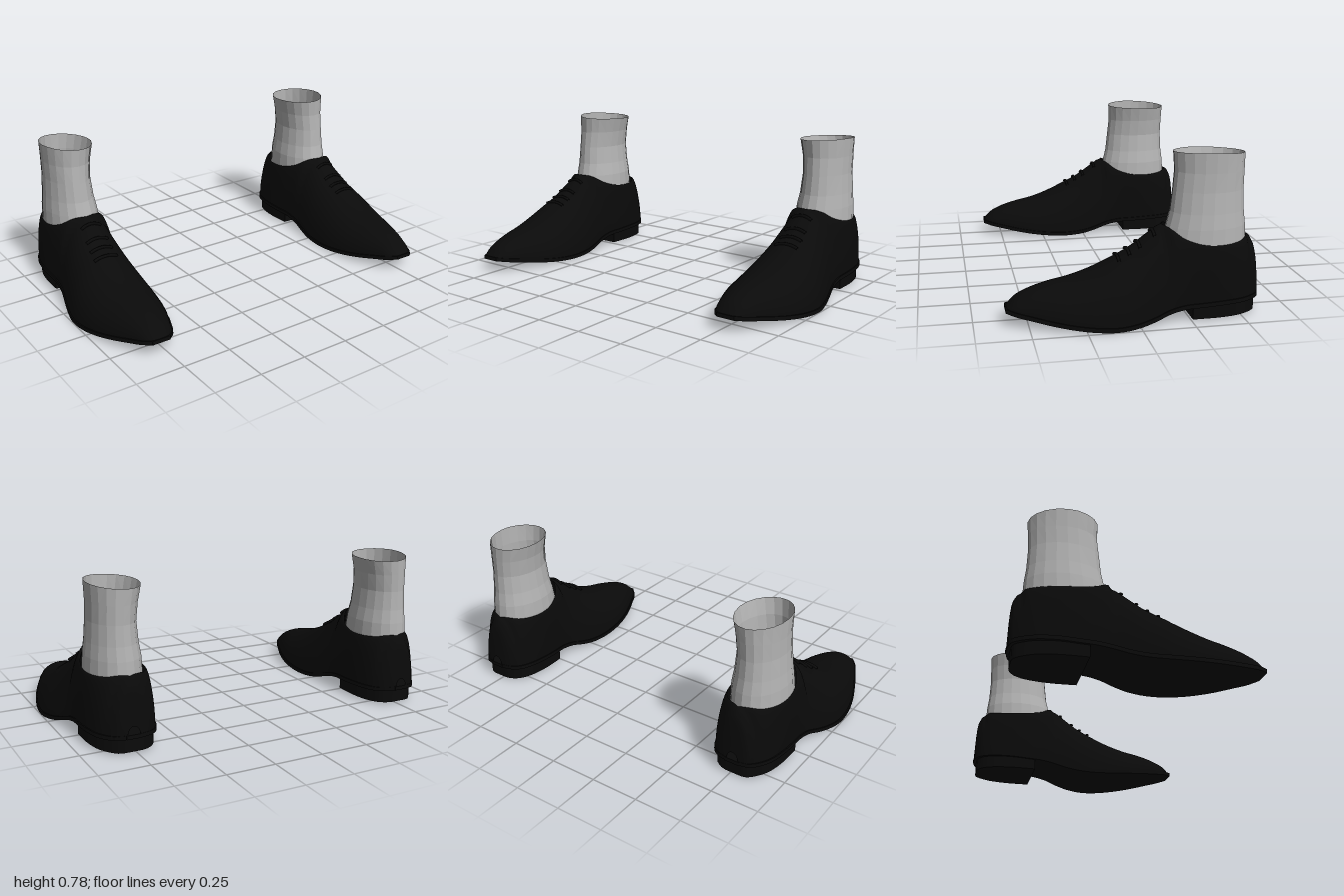
import * as THREE from 'three';

// Plan and profile of the shoe: z, inner x, outer x, sole underside y, upper top y
const ROWS = [
  [-0.6, 0.73, 0.805, 0.08, 0.14], [-0.593, 0.695, 0.84, 0.08, 0.27], [-0.575, 0.66, 0.865, 0.079, 0.345],
  [-0.55, 0.637, 0.885, 0.078, 0.37], [-0.5, 0.615, 0.912, 0.077, 0.362], [-0.4, 0.6, 0.932, 0.075, 0.357],
  [-0.3, 0.602, 0.935, 0.07, 0.365], [-0.22, 0.607, 0.935, 0.066, 0.39], [-0.14, 0.605, 0.942, 0.05, 0.437],
  [-0.08, 0.597, 0.957, 0.03, 0.402], [0, 0.585, 0.978, 0.012, 0.343], [0.1, 0.578, 0.997, 0.004, 0.289],
  [0.2, 0.579, 0.993, 0.008, 0.242], [0.3, 0.592, 0.972, 0.018, 0.208], [0.4, 0.62, 0.937, 0.032, 0.187],
  [0.5, 0.663, 0.892, 0.049, 0.157], [0.56, 0.693, 0.862, 0.059, 0.125], [0.6, 0.733, 0.828, 0.066, 0.082],
];
const profile = new THREE.CubicInterpolant(ROWS.map(r => r[0]), ROWS.flatMap(r => r.slice(1)), 4);

function at(z) {
  const [a, b, bottom, top] = profile.evaluate(z);
  return { c: (a + b) / 2, w: (b - a) / 2, bottom, top };
}

// Half width of the ankle opening
function gap(z) {
  const t = (z + 0.345) / 0.203;
  return Math.abs(t) < 1 ? 0.143 * Math.sqrt(1 - t * t) : 0;
}

// Point on the upper; a = 0 at the sole, PI / 2 at the top edge, wall = 1 outer, -1 inner
function upperPoint(z, a, wall, lift = 0) {
  const { c, w, bottom, top } = at(z);
  const g = Math.min(gap(z), w - 0.012), base = bottom + 0.012;
  const x = g + (w - 0.006 - g) * Math.cos(a);
  return [c + wall * x, base + (top - base) * Math.sin(a) + lift, z];
}

// Skin a list of equal cross-sections
function loft(sections, { side = 1, closed = false, cap = false, flat = false } = {}) {
  const n = sections[0].length, pos = [], idx = [];
  const tri = (a, b, c) => idx.push(a, side > 0 ? b : c, side > 0 ? c : b);
  sections.forEach(s => s.forEach(([x, y, z]) => pos.push(x * side, y, z)));
  for (let i = 0; i < sections.length - 1; i++) {
    for (let j = 0; j < (closed ? n : n - 1); j++) {
      const k = (j + 1) % n, a = i * n + j, b = i * n + k;
      tri(a, b, b + n);
      tri(a, b + n, a + n);
    }
  }
  if (cap) {
    const e = (sections.length - 1) * n;
    for (let j = 1; j < n - 1; j++) {
      tri(0, j + 1, j);
      tri(e, e + j, e + j + 1);
    }
  }
  let g = new THREE.BufferGeometry();
  g.setAttribute('position', new THREE.Float32BufferAttribute(pos, 3));
  g.setIndex(idx);
  if (flat) g = g.toNonIndexed();
  g.computeVertexNormals();
  return g;
}

// z stations packed closer at both ends
const stations = (z0, z1, n) => Array.from({ length: n + 1 },
  (_, i) => (z0 + z1) / 2 - (z1 - z0) / 2 * Math.cos(Math.PI * i / n));

// Rectangular cross-section, counterclockwise seen from the front
const slab = (c, w, y0, y1, z) => [[c + w, y0, z], [c + w, y1, z], [c - w, y1, z], [c - w, y0, z]];

// Sock rings: y, inner x, outer x, back z, front z
const SOCK = [
  [0.29, 0.637, 0.908, -0.545, -0.145], [0.36, 0.637, 0.908, -0.543, -0.143], [0.43, 0.641, 0.905, -0.539, -0.157],
  [0.5, 0.654, 0.898, -0.53, -0.174], [0.6, 0.664, 0.891, -0.525, -0.185], [0.69, 0.655, 0.891, -0.528, -0.194],
  [0.775, 0.637, 0.895, -0.531, -0.19],
];

function sockRing([y, x0, x1, z0, z1], level) {
  return Array.from({ length: 20 }, (_, j) => {
    const t = j / 20 * Math.PI * 2, cx = Math.cos(t), cz = -Math.sin(t);
    const tilt = level === SOCK.length - 1 ? 0.007 * cx + 0.009 * Math.min(cz + 0.3, 0.5) : 0;
    return [(x0 + x1) / 2 + (x1 - x0) / 2 * cx, y + tilt, (z0 + z1) / 2 + (z1 - z0) / 2 * cz];
  });
}

function makeFoot(side, leather, sockCloth) {
  const foot = new THREE.Group();
  const add = (name, geo, mat) => {
    const m = new THREE.Mesh(geo, mat);
    m.name = name;
    foot.add(m);
  };

  // Upper, as an outer and an inner wall that meet along the instep
  for (const wall of [1, -1]) {
    const sections = stations(-0.6, 0.6, 96).map(z => {
      const s = Array.from({ length: 15 }, (_, j) => upperPoint(z, j / 14 * Math.PI / 2, wall));
      return wall > 0 ? s : s.reverse();
    });
    add(wall > 0 ? 'upperOuter' : 'upperInner', loft(sections, { side }), leather);
  }

  // Sole with a slim welt
  add('sole', loft(stations(-0.603, 0.602, 64).map(z => {
    const { c, w, bottom } = at(THREE.MathUtils.clamp(z, -0.6, 0.6));
    return slab(c, w, bottom, bottom + 0.02, z);
  }), { side, closed: true, cap: true, flat: true }), leather);

  // Stacked heel block
  add('heel', loft(stations(-0.585, -0.255, 20).map(z => {
    const { c, w } = at(z - 0.012);
    return slab(c, w - 0.012, 0.011, 0.085, z);
  }), { side, closed: true, cap: true, flat: true }), leather);

  // Laces across the instep
  for (const z of [0.08, 0.03, -0.02, -0.09]) {
    const pts = [];
    for (let k = -4; k <= 4; k++) {
      const [x, y] = upperPoint(z, Math.PI / 2 - Math.abs(k) * 0.08, k < 0 ? -1 : 1, 0.004);
      pts.push(new THREE.Vector3(x * side, y, z));
    }
    add('lace', new THREE.TubeGeometry(new THREE.CatmullRomCurve3(pts), 16, 0.008, 6), leather);
  }

  // Sock, open at the top
  add('sock', loft(SOCK.map(sockRing), { side, closed: true, flat: true }), sockCloth);
  return foot;
}

export function createModel() {
  const leather = new THREE.MeshStandardMaterial({ color: 0x0a0a0a, side: THREE.DoubleSide });
  leather.name = 'black leather';
  const sockCloth = new THREE.MeshStandardMaterial({ color: 0xb4b4b4, side: THREE.DoubleSide });
  sockCloth.name = 'grey sock';

  const model = new THREE.Group();
  model.name = 'shoesAndSocks';
  for (const side of [1, -1]) {
    const foot = makeFoot(side, leather, sockCloth);
    foot.name = side > 0 ? 'leftFoot' : 'rightFoot';
    model.add(foot);
  }
  return model;
}
